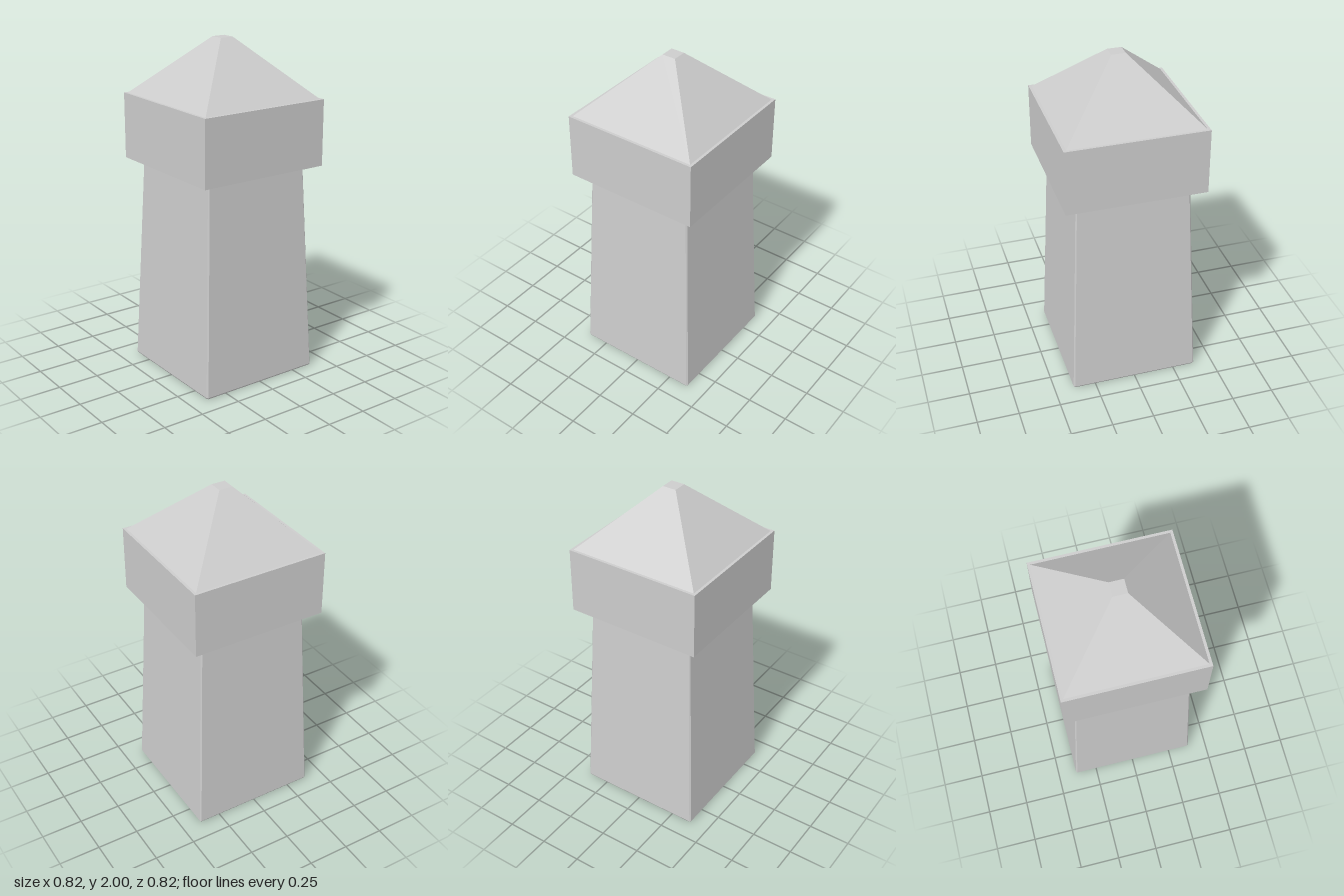
import * as THREE from 'three';

// Square cross-section of half-width h with corners cut by c
function squareRing([y, h, c]) {
  const e = h - c;
  const corners = c > 0
    ? [[h, e], [e, h], [-e, h], [-h, e], [-h, -e], [-e, -h], [e, -h], [h, -e]]
    : [[h, h], [-h, h], [-h, -h], [h, -h]];
  return corners.map(([x, z]) => [x, y, z]);
}

// Closed, flat-faced solid through stacked sections [y, halfWidth, cornerCut]
function loft(sections) {
  const rings = sections.map(squareRing);
  const n = rings[0].length;
  const pos = [];
  const tri = (...points) => points.forEach((p) => pos.push(...p));
  const last = rings[rings.length - 1];
  const bottom = [0, sections[0][0], 0];
  const top = [0, last[0][1], 0];
  for (let i = 0; i < n; i++) {
    const j = (i + 1) % n;
    for (let k = 0; k < rings.length - 1; k++) {
      const lo = rings[k], hi = rings[k + 1];
      tri(lo[i], hi[i], hi[j]);
      tri(lo[i], hi[j], lo[j]);
    }
    tri(bottom, rings[0][i], rings[0][j]);
    tri(top, last[j], last[i]);
  }
  const geometry = new THREE.BufferGeometry();
  geometry.setAttribute('position', new THREE.Float32BufferAttribute(pos, 3));
  geometry.computeVertexNormals();
  return geometry;
}

export function createModel() {
  const group = new THREE.Group();
  group.name = 'bollard';
  const stone = new THREE.MeshStandardMaterial({ color: 0xcccccc });
  stone.name = 'light grey stone';

  const add = (name, geometry) => {
    const mesh = new THREE.Mesh(geometry, stone);
    mesh.name = name;
    group.add(mesh);
    return mesh;
  };

  // Tapered post with finely bevelled edges
  add('post', loft([[0, 0.38, 0.006], [0.01, 0.386, 0.008], [1.28, 0.333, 0.007]]));

  // Overhanging square collar
  add('collar', new THREE.BoxGeometry(0.82, 0.39, 0.82)).position.y = 1.465;

  // Truncated pyramid cap, set in slightly from the collar
  add('cap', loft([[1.66, 0.394, 0], [2, 0.041, 0]]));

  return group;
}
